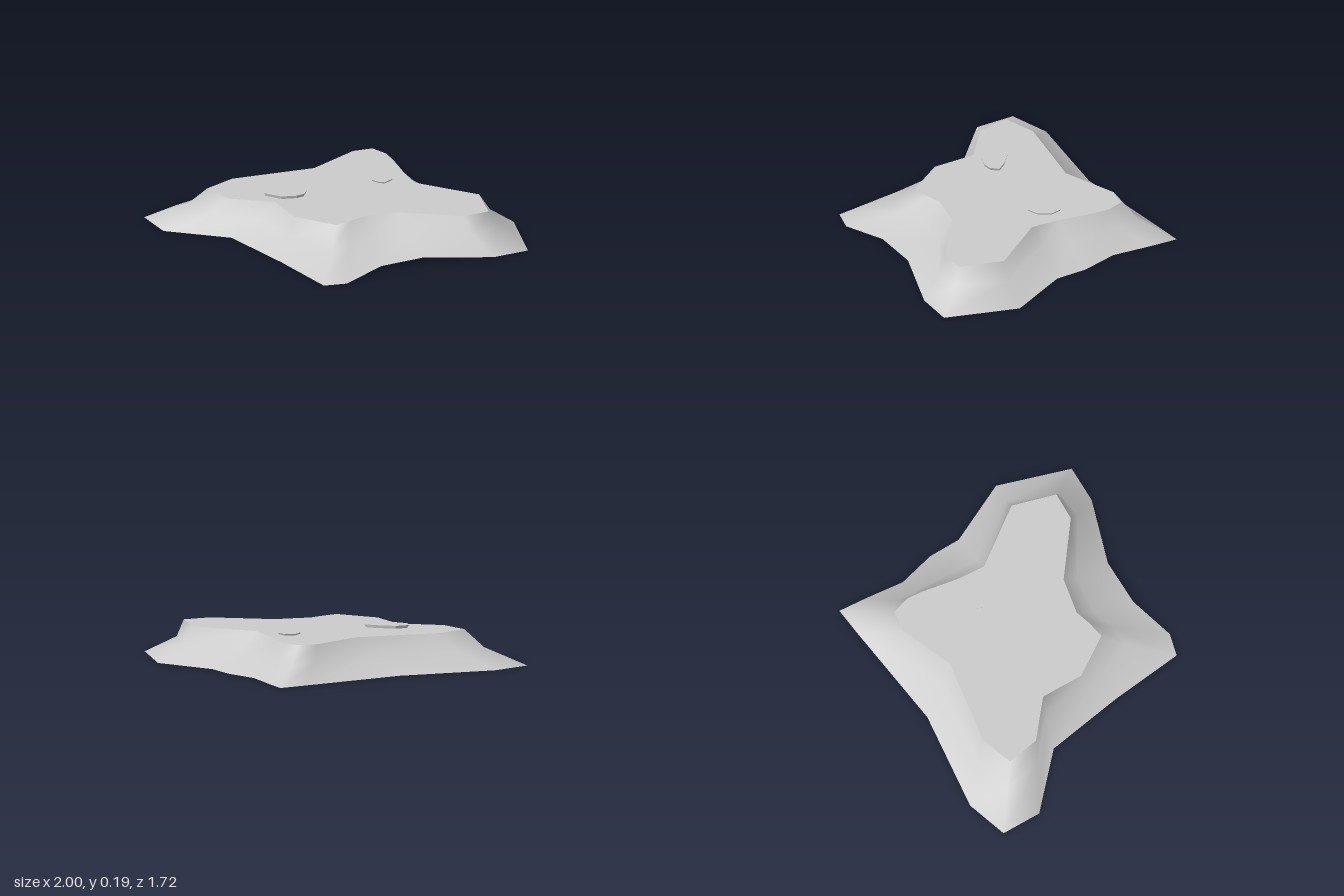
import * as THREE from 'three';

const material = new THREE.MeshStandardMaterial({ color: 0xcccccc });

// Ground outline and plateau outline, [x, z], matched point for point
const footOutline = [
  [-0.11, -0.86], [0, -0.75], [0.14, -0.6], [0.32, -0.51], [0.45, -0.4], [0.79, -0.31], [1, 0.03],
  [0.87, 0.18], [0.56, 0.37], [0.4, 0.56], [0.3, 0.79], [0.2, 0.86], [-0.12, 0.64], [-0.48, 0.42],
  [-0.84, 0.46], [-1, 0.32], [-0.91, 0.11], [-0.52, -0.25], [-0.2, -0.73],
];
const plateauOutline = [
  [-0.09, -0.57], [0, -0.53], [0.06, -0.47], [0.18, -0.32], [0.29, -0.21], [0.65, -0.18], [0.78, 0.02],
  [0.68, 0.13], [0.35, 0.2], [0.2, 0.32], [0.17, 0.39], [0.12, 0.48], [-0.12, 0.45], [-0.29, 0.3],
  [-0.53, 0.34], [-0.68, 0.25], [-0.61, 0.08], [-0.27, -0.21], [-0.17, -0.5],
];
const stoneOutlines = [
  { top: 0.195, points: [[-0.4, 0.18], [-0.35, 0.13], [-0.25, 0.115], [-0.18, 0.12], [-0.175, 0.17], [-0.2, 0.21], [-0.27, 0.25], [-0.37, 0.24]] },
  { top: 0.188, points: [[0.045, -0.28], [0.09, -0.3], [0.14, -0.27], [0.165, -0.2], [0.145, -0.14], [0.11, -0.135], [0.07, -0.15], [0.04, -0.21]] },
];

const TOP = 0.18;

function mesh(name, positions, index, flat = false) {
  let geometry = new THREE.BufferGeometry();
  geometry.setAttribute('position', new THREE.Float32BufferAttribute(positions.flat(), 3));
  geometry.setIndex(index);
  if (flat) geometry = geometry.toNonIndexed();
  geometry.computeVertexNormals();
  const result = new THREE.Mesh(geometry, material);
  result.name = name;
  return result;
}

// Closed band through rings listed from bottom to top
function band(name, rings, flat) {
  const n = rings[0].length;
  const index = [];
  for (let r = 0; r < rings.length - 1; r++) {
    for (let i = 0; i < n; i++) {
      const a = r * n + i, b = r * n + (i + 1) % n;
      index.push(b, a, a + n, b, a + n, b + n);
    }
  }
  return mesh(name, rings.flat(), index, flat);
}

// Fan from a centre point that closes a ring
function cap(name, ring, centre, facesUp) {
  const n = ring.length;
  const index = [];
  for (let i = 0; i < n; i++) {
    const a = i + 1, b = (i + 1) % n + 1;
    index.push(0, ...(facesUp ? [b, a] : [a, b]));
  }
  return mesh(name, [centre, ...ring], index);
}

export function createModel() {
  const model = new THREE.Group();
  model.name = 'rockPlatform';

  // Slope: shallow at the foot, steep below the plateau edge
  const foot = footOutline.map(([x, z], i) => [x, i === 8 || i === 9 ? 0.025 : 0, z]);
  const plateau = plateauOutline.map(([x, z]) => [x, TOP, z]);
  const shoulder = foot.map(([x, , z], i) => {
    const t = i === 6 ? 0.82 : 0.69;
    return [x + (plateau[i][0] - x) * t, 0.09, z + (plateau[i][2] - z) * t];
  });
  model.add(band('slope', [foot, shoulder, plateau]));
  model.add(cap('plateauTop', plateau, [0, TOP, 0], true));
  model.add(cap('underside', foot, [0, 0, 0], false));

  // Flat stones on the plateau, slightly wider at the top
  stoneOutlines.forEach(({ top, points }, s) => {
    const cx = points.reduce((sum, p) => sum + p[0], 0) / points.length;
    const cz = points.reduce((sum, p) => sum + p[1], 0) / points.length;
    const ring = (scale, y) => points.map(([x, z]) => [cx + (x - cx) * scale, y, cz + (z - cz) * scale]);
    const upper = ring(1, top);
    const stone = new THREE.Group();
    stone.name = 'flatStone' + (s + 1);
    stone.add(band('stoneSide', [ring(0.92, TOP - 0.005), upper], true));
    stone.add(cap('stoneTop', upper, [cx, top, cz], true));
    model.add(stone);
  });
  return model;
}
